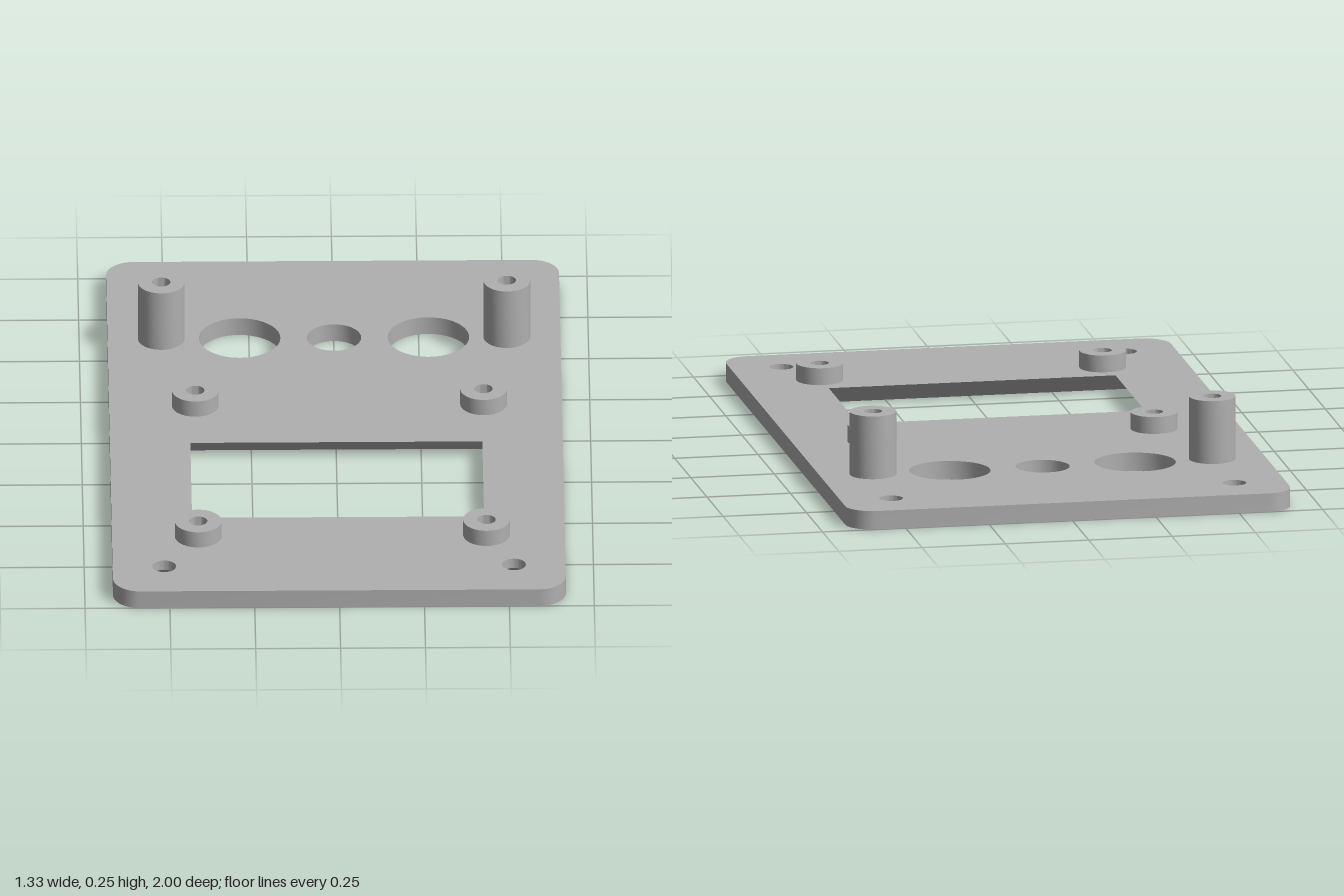
import * as THREE from 'three';
import { mergeGeometries, toCreasedNormals } from 'three/addons/utils/BufferGeometryUtils.js';

const T = 0.056; // plate thickness

// Counter-clockwise outlines in plan, where plan y = -z
const circle = (x, z, r, n = 40) => Array.from({ length: n }, (_, i) => {
  const a = (i / n) * Math.PI * 2;
  return new THREE.Vector2(x + r * Math.cos(a), -z + r * Math.sin(a));
});

const rect = (x0, x1, z0, z1, grow = 0) => [
  new THREE.Vector2(x0 - grow, -z1 - grow), new THREE.Vector2(x1 + grow, -z1 - grow),
  new THREE.Vector2(x1 + grow, -z0 + grow), new THREE.Vector2(x0 - grow, -z0 + grow),
];

function roundedRect(hx, hz, r, n = 10) {
  const pts = [];
  [[1, 1], [-1, 1], [-1, -1], [1, -1]].forEach(([sx, sy], q) => {
    for (let i = 0; i <= n; i++) {
      const a = (q + i / n) * Math.PI / 2;
      pts.push(new THREE.Vector2(sx * (hx - r) + r * Math.cos(a), sy * (hz - r) + r * Math.sin(a)));
    }
  });
  return pts;
}

// Flat face with holes, facing up or down
function face(outline, holes, y, down) {
  const shape = new THREE.Shape(outline);
  holes.forEach((h) => shape.holes.push(new THREE.Path(h)));
  const g = new THREE.ShapeGeometry(shape).toNonIndexed();
  if (down) {
    const p = g.attributes.position;
    const a = new THREE.Vector3(), b = new THREE.Vector3();
    for (let i = 0; i < p.count; i += 3) {
      a.fromBufferAttribute(p, i + 1);
      b.fromBufferAttribute(p, i + 2);
      p.setXYZ(i + 1, b.x, b.y, b.z);
      p.setXYZ(i + 2, a.x, a.y, a.z);
    }
  }
  g.deleteAttribute('uv');
  g.rotateX(-Math.PI / 2).translate(0, y, 0);
  g.computeVertexNormals();
  return g;
}

// Wall between two matching outlines; inward walls line the holes
function wall(low, y0, high, y1, inward) {
  const pos = [];
  const n = low.length;
  for (let i = 0; i < n; i++) {
    const j = (i + 1) % n;
    const a = [low[i].x, y0, -low[i].y], b = [low[j].x, y0, -low[j].y];
    const c = [high[j].x, y1, -high[j].y], d = [high[i].x, y1, -high[i].y];
    pos.push(...(inward ? [a, c, b, a, d, c] : [a, b, c, a, c, d]).flat());
  }
  const g = new THREE.BufferGeometry();
  g.setAttribute('position', new THREE.Float32BufferAttribute(pos, 3));
  return toCreasedNormals(g, 0.5);
}

export function createModel() {
  const model = new THREE.Group();
  model.name = 'frontPanel';
  const grey = new THREE.MeshStandardMaterial({ color: 0xb0b0b0 });
  grey.name = 'plastic grey';

  // Openings: outline on top, outline underneath, and height where the flare ends
  const openings = [
    { top: rect(-0.43, 0.43, 0.1, 0.555), low: rect(-0.43, 0.43, 0.1, 0.555, T), flare: T },
  ];
  for (const [x, r] of [[-0.278, 0.12], [0, 0.08], [0.278, 0.12]]) {
    openings.push({ top: circle(x, -0.535, r), low: circle(x, -0.535, r), flare: 0 });
  }
  for (const x of [-0.515, 0.515]) {
    for (const z of [-0.848, 0.848]) {
      openings.push({ top: circle(x, z, 0.035), low: circle(x, z, 0.06), flare: 0.025 });
    }
  }

  // Plate with bevelled window, round holes and countersunk screw holes
  const outline = roundedRect(0.667, 1, 0.08);
  const parts = [
    face(outline, openings.map((o) => o.top), T, false),
    face(outline, openings.map((o) => o.low), 0, true),
    wall(outline, 0, outline, T, false),
  ];
  for (const o of openings) {
    if (o.flare > 0) parts.push(wall(o.low, 0, o.top, o.flare, true));
    if (o.flare < T) parts.push(wall(o.top, o.flare, o.top, T, true));
  }
  const plate = new THREE.Mesh(mergeGeometries(parts), grey);
  plate.name = 'plate';
  model.add(plate);

  // Hollow standoffs with blind screw holes
  const standoff = (name, x, z, top) => {
    const profile = [[0.069, T], [0.069, top], [0.027, top], [0.027, T + 0.002], [0, T + 0.002]]
      .map(([r, y]) => new THREE.Vector2(r, y));
    const mesh = new THREE.Mesh(toCreasedNormals(new THREE.LatheGeometry(profile, 40), 0.5), grey);
    mesh.name = name;
    mesh.position.set(x, 0, z);
    model.add(mesh);
  };
  for (const x of [-0.509, 0.509]) standoff('tallStandoff', x, -0.535, 0.246);
  for (const x of [-0.413, 0.436]) {
    for (const z of [-0.128, 0.666]) standoff('shortStandoff', x, z, 0.107);
  }
  return model;
}
